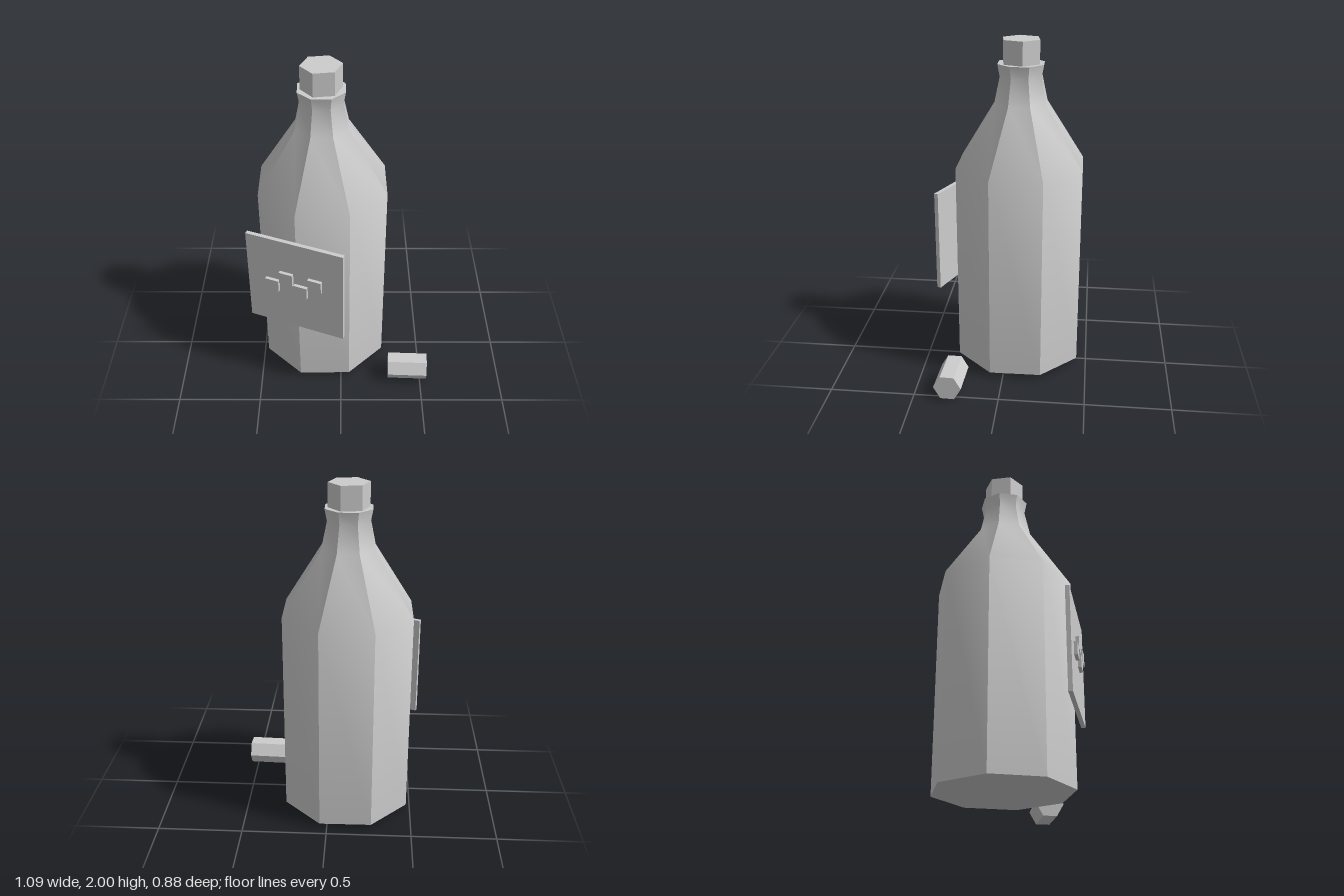
import * as THREE from 'three';
import { toCreasedNormals } from 'three/addons/utils/BufferGeometryUtils.js';

export function createModel() {
  const model = new THREE.Group();
  model.name = 'bottleSet';
  const grey = new THREE.MeshStandardMaterial({ color: 0xcccccc });
  grey.name = 'light grey';

  const add = (name, geometry, parent, x, y, z) => {
    const mesh = new THREE.Mesh(toCreasedNormals(geometry, 0.6), grey);
    mesh.name = name;
    mesh.position.set(x, y, z);
    parent.add(mesh);
    return mesh;
  };

  // Eight-sided bottle: shallow cone underside, straight body, shoulder, neck and flared lip
  const profile = [
    [0, 0.005], [0.4, 0.033], [0.4, 1.264], [0.163, 1.635], [0.129, 1.79], [0.143, 1.862], [0, 1.862],
  ].map(([r, y]) => new THREE.Vector2(r, y));
  const bottle = new THREE.Group();
  bottle.name = 'bottle';
  bottle.position.set(-0.106, 0, -0.071);
  model.add(bottle);
  add('bottleBody', new THREE.LatheGeometry(profile, 8), bottle, 0, 0, 0).rotation.y = 0.404;

  // Six-sided stopper
  add('stopper', new THREE.CylinderGeometry(0.118, 0.118, 0.14, 6), bottle, 0, 1.93, 0).rotation.y = -0.375;

  // Label board leaning across the front, with four staggered raised blocks
  const label = new THREE.Group();
  label.name = 'label';
  label.position.set(-0.262, 0.781, 0.313);
  label.rotation.y = -0.381;
  model.add(label);
  add('labelBoard', new THREE.BoxGeometry(0.6, 0.62, 0.025), label, 0, 0, 0);
  for (let i = 0; i < 4; i++) {
    add('labelBlock', new THREE.BoxGeometry(0.084, 0.079, 0.02), label,
      -0.14 + i * 0.09, i % 2 ? 0.055 : -0.015, 0.0225);
  }

  // Loose cork lying on its side
  const cork = add('looseCork', new THREE.CylinderGeometry(0.082, 0.082, 0.242, 6), model, 0.419, 0.0875, 0.29);
  cork.rotation.set(0, -0.042, Math.PI / 2);

  return model;
}
